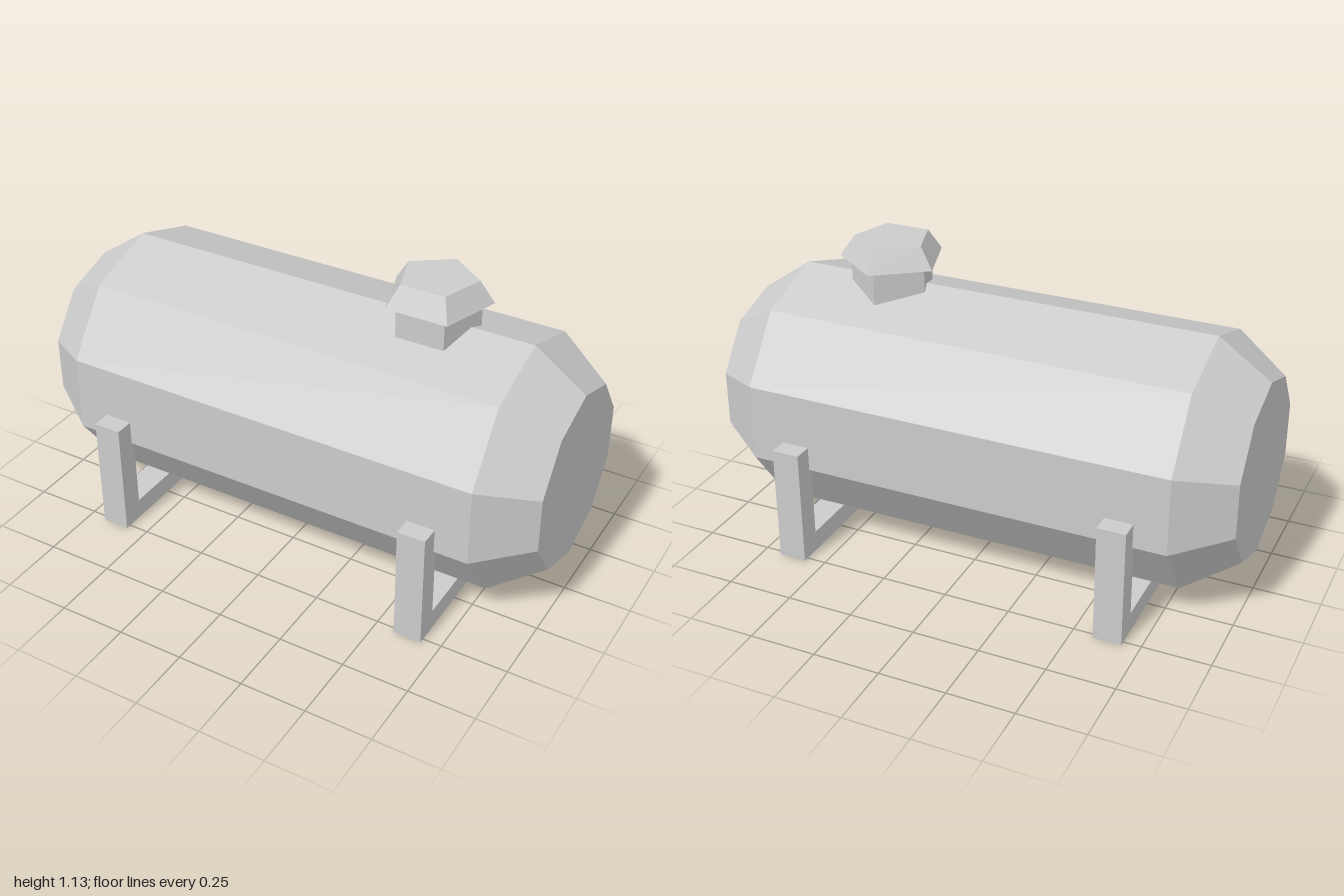
import * as THREE from 'three';

export function createModel() {
  const model = new THREE.Group();
  const material = new THREE.MeshStandardMaterial({ color: 0xcccccc, flatShading: true });
  const add = (name, geometry, x, y, z) => {
    const mesh = new THREE.Mesh(geometry, material);
    mesh.name = name;
    mesh.position.set(x, y, z);
    model.add(mesh);
    return mesh;
  };

  // Ten-sided tank with chamfered ends, lying along x with an edge on top
  const profile = [[0, -1], [0.335, -1], [0.472, -0.805], [0.472, 0.805], [0.335, 1], [0, 1]]
    .map(([r, h]) => new THREE.Vector2(r, h));
  const tank = add('tank', new THREE.LatheGeometry(profile, 10, Math.PI / 2), 0, 0.5, 0);
  tank.rotation.z = Math.PI / 2;

  // Five-sided filler neck and its tapered cap, one corner pointing back
  const pentagon = (top, bottom, height) =>
    new THREE.CylinderGeometry(top, bottom, height, 5, 1, false, Math.PI);
  add('fillerNeck', pentagon(0.157, 0.157, 0.2), 0.437, 0.955, 0);
  add('fillerCap', pentagon(0.143, 0.198, 0.081), 0.437, 1.091, 0);

  // U-shaped cradles under both ends
  const outline = [
    [-0.52, 0], [0.52, 0], [0.52, 0.446], [0.435, 0.446],
    [0.435, 0.078], [-0.435, 0.078], [-0.435, 0.446], [-0.52, 0.446],
  ].map(([z, y]) => new THREE.Vector2(z, y));
  const width = 0.105;
  const cradle = new THREE.ExtrudeGeometry(new THREE.Shape(outline), { depth: width, bevelEnabled: false });
  cradle.translate(0, 0, -width / 2).rotateY(Math.PI / 2);
  add('rightCradle', cradle, -0.631, 0, 0);
  add('leftCradle', cradle, 0.627, 0, 0);

  return model;
}
